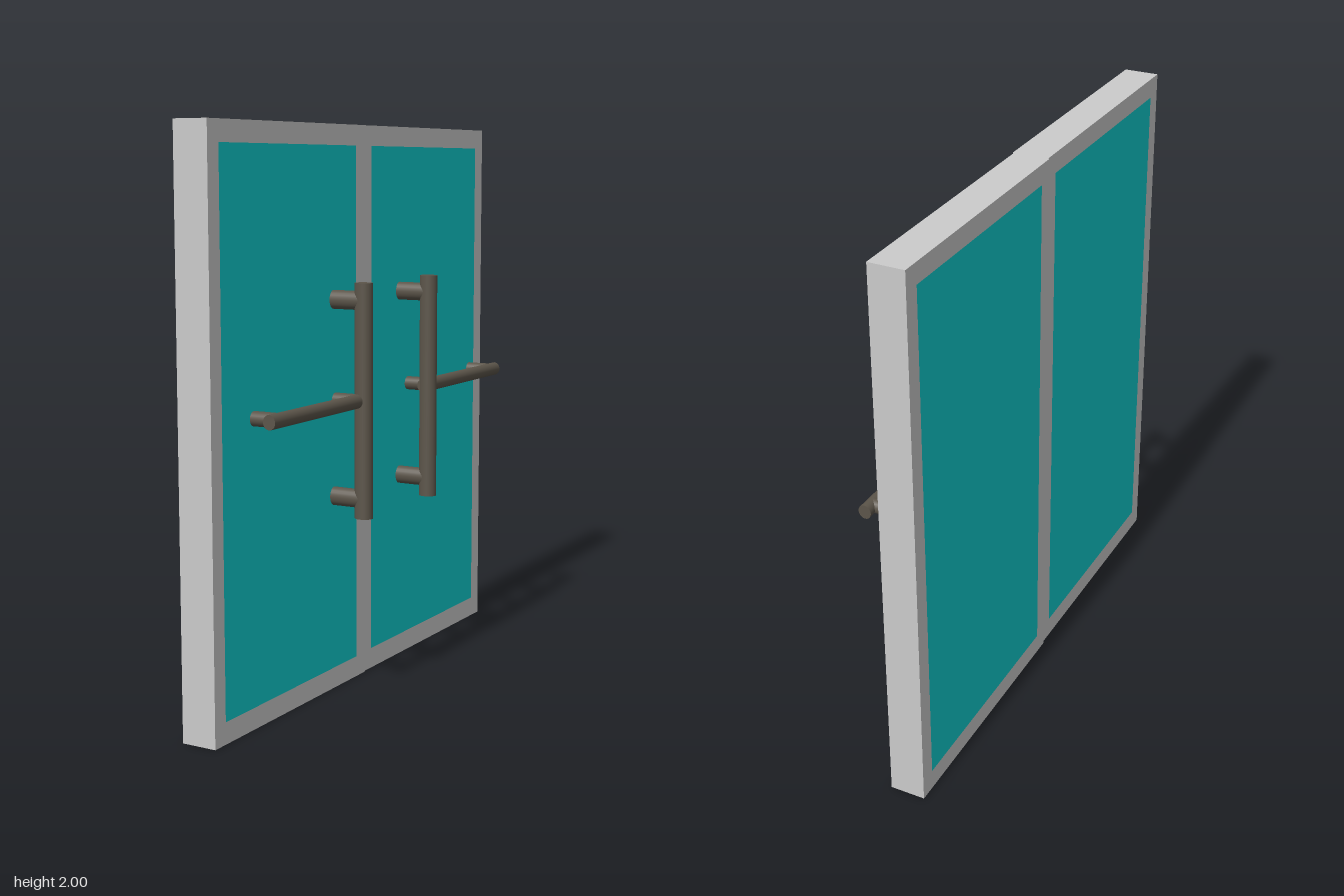
import * as THREE from 'three';

const mat = (name, color) => {
  const m = new THREE.MeshStandardMaterial({ color });
  m.name = name;
  return m;
};

export function createModel() {
  const frameGrey = mat('frame grey', 0xcbcbcb);
  const glassCyan = mat('glass cyan', 0x0fcfd0);
  const handleBronze = mat('handle bronze', 0x5c554a);

  const model = new THREE.Group();
  model.name = 'doubleDoor';

  const add = (parent, name, geometry, material) => {
    const mesh = new THREE.Mesh(geometry, material);
    mesh.name = name;
    parent.add(mesh);
    return mesh;
  };

  // Round bar along one axis, with its own radius across each other axis
  const bar = (parent, name, axis, length, r1, r2, x, y, z) => {
    const geo = new THREE.CylinderGeometry(1, 1, length, 24);
    geo.scale(r1, 1, r2);
    if (axis === 'x') geo.rotateZ(-Math.PI / 2);
    if (axis === 'z') geo.rotateX(Math.PI / 2);
    add(parent, name, geo, handleBronze).position.set(x, y, z);
  };

  // One leaf: grey frame with a flush glass pane, spanning z0..z1
  const thick = 0.128, paneLow = 0.075, paneHigh = 1.928;
  const leaf = (parent, xBack, z0, z1, p0, p1) => {
    const shape = new THREE.Shape();
    shape.moveTo(-z1, 0).lineTo(-z0, 0).lineTo(-z0, 2).lineTo(-z1, 2).closePath();
    const hole = new THREE.Path();
    hole.moveTo(-p1, paneLow).lineTo(-p1, paneHigh).lineTo(-p0, paneHigh).lineTo(-p0, paneLow).closePath();
    shape.holes.push(hole);
    const frame = new THREE.ExtrudeGeometry(shape, { depth: thick, bevelEnabled: false });
    frame.rotateY(Math.PI / 2);
    add(parent, 'leafFrame', frame, frameGrey).position.x = xBack;
    const pane = new THREE.BoxGeometry(thick, paneHigh - paneLow, p1 - p0);
    add(parent, 'glassPane', pane, glassCyan)
      .position.set(xBack + thick / 2, (paneLow + paneHigh) / 2, (p0 + p1) / 2);
  };

  // Upright pull handle and horizontal push bar, each on two standoffs
  const handles = (parent, side, zPull, zNear, zFar) => {
    bar(parent, 'pullBar', 'y', 0.825, 0.033, 0.029, 0.107, 1.047, zPull);
    for (const y of [0.703, 1.398])
      bar(parent, 'pullStandoff', 'x', 0.122, 0.033, 0.028, 0.046, y, zPull);
    const a = zNear - side * 0.05, b = zFar + side * 0.05;
    bar(parent, 'pushBar', 'z', Math.abs(b - a), 0.023, 0.025, 0.095, 1.05, (a + b) / 2);
    for (const z of [zNear, zFar])
      bar(parent, 'pushStandoff', 'x', 0.09, 0.025, 0.025, 0.05, 1.05, z);
  };

  const frontLeaf = new THREE.Group();
  frontLeaf.name = 'frontLeaf';
  leaf(frontLeaf, -0.142, 0, 0.957, 0.06, 0.897);
  handles(frontLeaf, 1, 0.215, 0.236, 0.744);

  const backLeaf = new THREE.Group();
  backLeaf.name = 'backLeaf';
  leaf(backLeaf, -0.147, -0.957, 0, -0.895, -0.057);
  handles(backLeaf, -1, -0.262, -0.292, -0.807);

  model.add(frontLeaf, backLeaf);
  return model;
}
